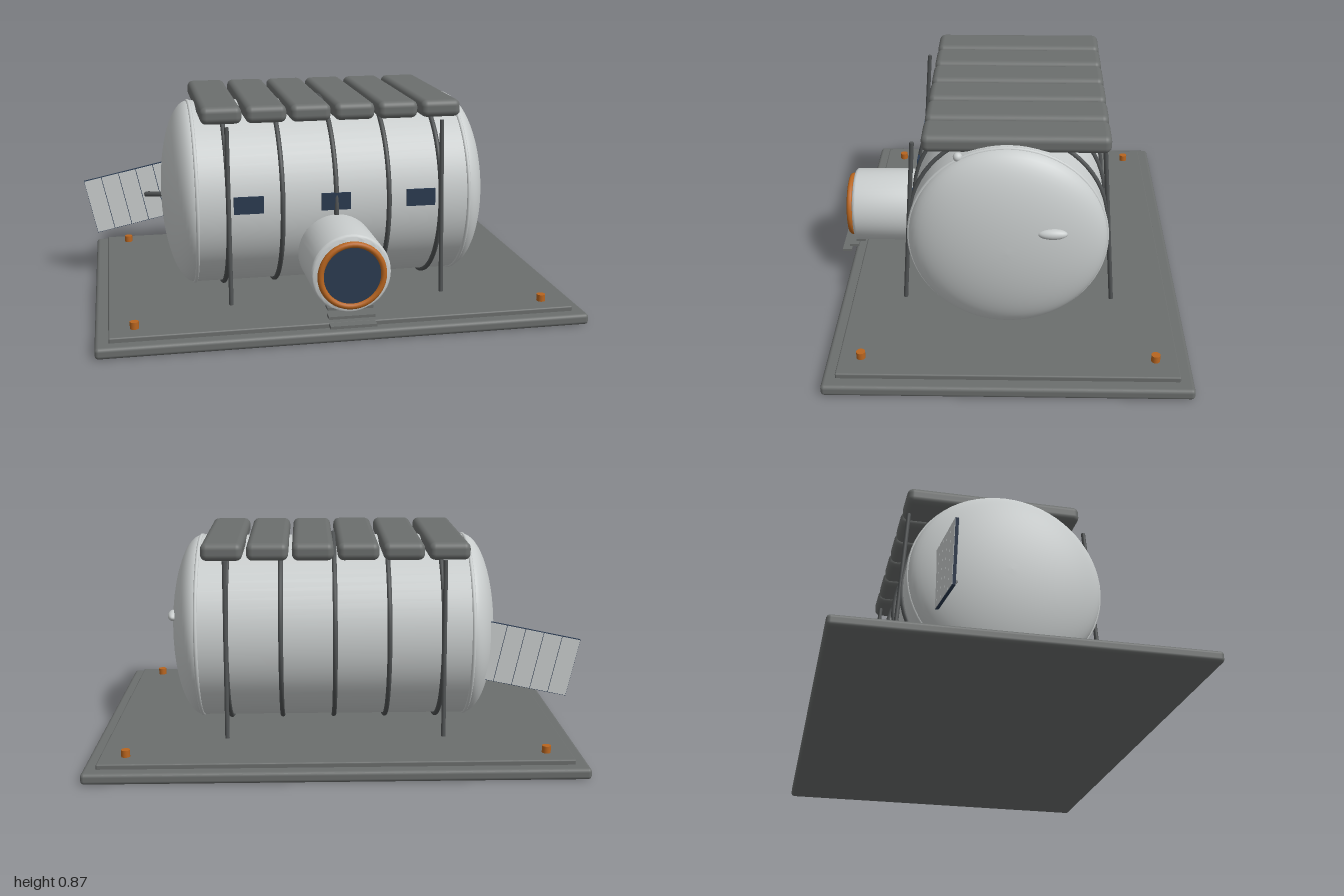
import * as THREE from 'three';
import { toCreasedNormals } from 'three/addons/utils/BufferGeometryUtils.js';
import { RoundedBoxGeometry } from 'three/addons/geometries/RoundedBoxGeometry.js';

const material = (name, color) => {
  const m = new THREE.MeshStandardMaterial({ color });
  m.name = name;
  return m;
};

export function createModel() {
  const shell = material('light grey shell', 0xc9cdcd);
  const grey = material('mid grey', 0x6b6e6d);
  const dark = material('dark grey metal', 0x505354);
  const navy = material('navy glass', 0x2a3a50);
  const orange = material('orange', 0xb8651f);

  const model = new THREE.Group();
  model.name = 'habitat';
  const CX = 0.015, CY = 0.453, CZ = -0.014, R = 0.388, HALF = 0.56;

  const add = (name, geometry, mat, x = 0, y = 0, z = 0, parent = model) => {
    const mesh = new THREE.Mesh(geometry, mat);
    mesh.name = name;
    mesh.position.set(x, y, z);
    parent.add(mesh);
    return mesh;
  };

  // Straight rod between two points
  const rod = (name, a, b, r, mat) => {
    const p = new THREE.Vector3(...a), q = new THREE.Vector3(...b);
    const d = q.clone().sub(p);
    const mesh = add(name, new THREE.CylinderGeometry(r, r, d.length(), 12), mat);
    mesh.position.copy(p).add(q).multiplyScalar(0.5);
    mesh.quaternion.setFromUnitVectors(new THREE.Vector3(0, 1, 0), d.normalize());
    return mesh;
  };

  // Foundation: two stacked slabs with a marker light at each corner
  add('baseSlab', new RoundedBoxGeometry(1.96, 0.045, 1.41, 3, 0.015), grey, CX, 0.0225, -0.02);
  add('upperSlab', new RoundedBoxGeometry(1.855, 0.03, 1.31, 2, 0.006), grey, CX, 0.05, -0.02);
  for (const x of [-0.813, 0.84]) {
    for (const z of [-0.587, 0.548]) {
      add('markerLight', new THREE.CylinderGeometry(0.0175, 0.0175, 0.032, 20), orange, x, 0.077, z);
    }
  }

  // Pressure hull: cylinder with shallow elliptical ends, axis along x
  const profile = [];
  for (let i = 0; i <= 16; i++) {
    const t = (i / 16) * Math.PI / 2;
    profile.push(new THREE.Vector2(R * Math.sin(t), -HALF - 0.125 * Math.cos(t)));
  }
  for (let i = 16; i >= 0; i--) profile.push(new THREE.Vector2(profile[i].x, -profile[i].y));
  add('hull', new THREE.LatheGeometry(profile, 64).rotateZ(-Math.PI / 2), shell, CX, CY, CZ);

  // Seams at both ends, and hoops around the middle
  const hoop = (name, x, r, tube, mat) =>
    add(name, new THREE.TorusGeometry(r, tube, 10, 64).rotateY(Math.PI / 2), mat, x, CY, CZ);
  for (const s of [-1, 1]) hoop('endSeam', CX + s * HALF, 0.386, 0.008, shell);
  for (let i = -2; i <= 2; i++) hoop('hullHoop', CX + i * 0.219, 0.393, 0.01, dark);

  // Sloping support poles beside the outer hoops
  for (const x of [CX - 0.438, CX + 0.438]) {
    for (const s of [-1, 1]) {
      rod('supportPole', [x, 0.8, CZ + s * 0.373], [x, 0.083, CZ + s * 0.426], 0.009, dark);
    }
  }

  // Padded roof panels
  for (let i = 0; i < 6; i++) {
    add('roofPanel', new RoundedBoxGeometry(0.166, 0.071, 0.722, 4, 0.026), grey,
      CX - 0.002 + (i - 2.5) * 0.1805, 0.836, -0.045);
  }

  // Front windows
  for (const x of [-0.342, 0.013, 0.367]) {
    add('window', new THREE.BoxGeometry(0.12, 0.07, 0.009), navy, x, 0.485, 0.3795);
  }

  // Entrance tunnel with bevelled rims
  const tunnel = [new THREE.Vector2(0, -0.152)];
  for (const s of [-1, 1]) {
    for (let i = 0; i <= 4; i++) {
      const t = ((s < 0 ? i : 4 - i) / 4) * Math.PI / 2;
      tunnel.push(new THREE.Vector2(0.143 + 0.015 * Math.sin(t), s * (0.137 + 0.015 * Math.cos(t))));
    }
  }
  tunnel.push(new THREE.Vector2(0, 0.152));
  const tunnelShape = toCreasedNormals(new THREE.LatheGeometry(tunnel, 48), 0.6).rotateX(Math.PI / 2);
  add('entranceTunnel', tunnelShape, shell, CX, 0.271, 0.515);
  add('hatchRing', new THREE.TorusGeometry(0.124, 0.0125, 12, 48), orange, CX, 0.271, 0.68);
  add('hatchDoor', new THREE.CylinderGeometry(0.118, 0.118, 0.02, 48).rotateX(Math.PI / 2), navy, CX, 0.271, 0.673);

  // Floating entrance steps
  [[0.082, 0.709], [0.108, 0.675], [0.134, 0.645]].forEach(([y, z]) =>
    add('step', new THREE.BoxGeometry(0.182, 0.011, 0.04), grey, 0.013, y, z));

  // Tilted side panel: navy core with pale strips on both faces
  const array = new THREE.Group();
  array.name = 'sidePanel';
  array.position.set(-0.784, 0.367, -0.295);
  array.rotation.z = 0.209;
  model.add(array);
  add('panelCore', new THREE.BoxGeometry(0.39, 0.246, 0.012), navy, 0, 0, 0, array);
  for (let i = -2; i <= 2; i++) {
    for (const s of [-1, 1]) {
      add('panelStrip', new THREE.BoxGeometry(0.0755, 0.242, 0.002), shell, i * 0.078, 0, s * 0.007, array);
    }
  }
  rod('panelStrut', [-0.73, 0.376, -0.292], [-0.59, 0.39, -0.2], 0.012, dark);

  // Small fittings on the hull
  add('vent', new THREE.SphereGeometry(1, 24, 16).scale(0.022, 0.021, 0.057), shell, 0.685, 0.535, -0.185);
  add('sensorBall', new THREE.SphereGeometry(0.018, 20, 14), shell, 0.57, 0.8, 0.175);

  return model;
}
